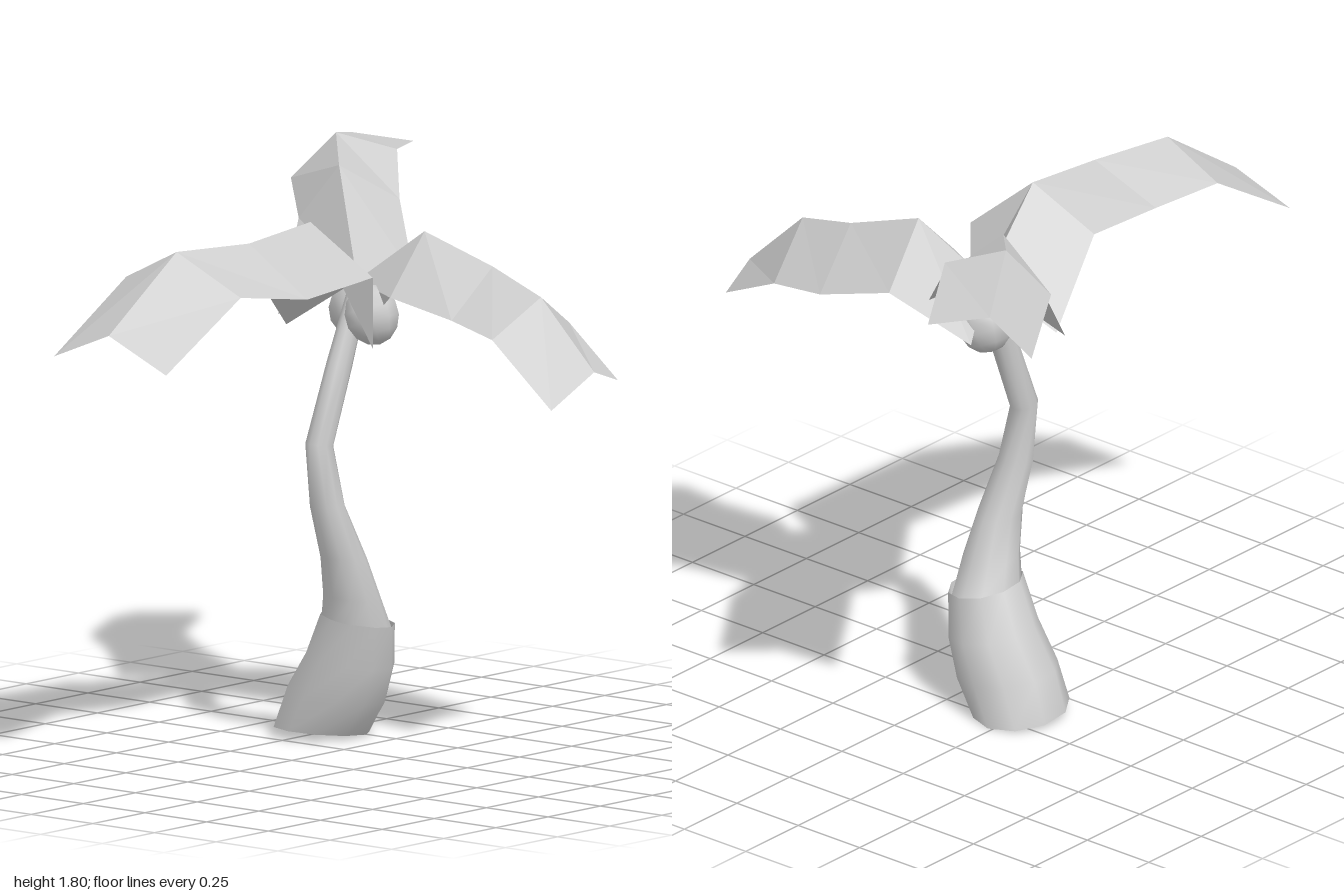
import * as THREE from 'three';

const SIDES = 10;

// Smooth open tube through rings [x, y, z, rx, rz, slopeX, slopeZ]
function ringTube(name, rings) {
  const pos = [], idx = [];
  rings.forEach(([x, y, z, rx, rz, sx = 0, sz = 0], r) => {
    for (let i = 0; i < SIDES; i++) {
      const a = (i / SIDES) * Math.PI * 2;
      const dx = Math.cos(a) * rx, dz = Math.sin(a) * rz;
      pos.push(x + dx, y + dx * sx + dz * sz, z + dz);
      if (r === 0) continue;
      const j = (i + 1) % SIDES, lo = (r - 1) * SIDES, hi = r * SIDES;
      idx.push(lo + i, hi + i, lo + j, lo + j, hi + i, hi + j);
    }
  });
  const geo = new THREE.BufferGeometry();
  geo.setAttribute('position', new THREE.Float32BufferAttribute(pos, 3));
  geo.setIndex(idx);
  geo.computeVertexNormals();
  const mesh = new THREE.Mesh(geo,
    new THREE.MeshStandardMaterial({ color: 0xcccccc, side: THREE.DoubleSide }));
  mesh.name = name;
  return mesh;
}

// Folded leaf: each section is [edge, ridge, edge], from the crown to the tip
function frond(name, sections) {
  const pos = sections.flat(2), idx = [];
  for (let s = 0; s < sections.length - 1; s++) {
    for (let k = 0; k < 2; k++) {
      const a = s * 3 + k;
      idx.push(a, a + 1, a + 3, a + 1, a + 4, a + 3);
    }
  }
  const geo = new THREE.BufferGeometry();
  geo.setAttribute('position', new THREE.Float32BufferAttribute(pos, 3));
  geo.setIndex(idx);
  geo.computeVertexNormals();
  const mesh = new THREE.Mesh(geo, new THREE.MeshStandardMaterial({
    color: 0xcccccc, side: THREE.DoubleSide, flatShading: true }));
  mesh.name = name;
  return mesh;
}

export function createModel() {
  const group = new THREE.Group();
  group.name = 'palmTree';

  // Thick leaning foot of the trunk
  group.add(ringTube('trunkBase', [
    [0.17, 0.015, -0.235, 0.16, 0.145, -0.09, -0.03],
    [0.167, 0.13, -0.175, 0.158, 0.162, -0.05, -0.1],
    [0.163, 0.25, -0.115, 0.146, 0.138, -0.05, -0.15],
    [0.145, 0.385, -0.068, 0.125, 0.112, -0.1, -0.15],
  ]));

  // Slim curved upper trunk
  group.add(ringTube('trunkUpper', [
    [0.14, 0.37, -0.068, 0.117, 0.106, -0.1, -0.15],
    [0.105, 0.46, -0.055, 0.094, 0.092, -0.1, -0.1],
    [0.058, 0.59, -0.05, 0.078, 0.07, -0.1],
    [0, 0.76, -0.068, 0.053, 0.058],
    [-0.01, 0.95, -0.092, 0.046, 0.043, -0.15],
    [0.08, 1.19, -0.087, 0.043, 0.038, -0.3],
    [0.175, 1.43, -0.085, 0.034, 0.03, -0.3],
  ]));

  // Three drooping leaves meeting at the crown
  const crown = [0.18, 1.44, -0.1];
  group.add(frond('rightLeaf', [
    [[0.09, 1.29, -0.31], crown, [0.02, 1.27, 0.1]],
    [[-0.16, 1.52, -0.25], [-0.09, 1.665, -0.06], [-0.01, 1.5, 0.125]],
    [[-0.43, 1.52, -0.27], [-0.385, 1.637, -0.06], [-0.33, 1.475, 0.13]],
    [[-0.66, 1.54, -0.325], [-0.655, 1.64, -0.125], [-0.59, 1.51, 0.08]],
    [[-1.0, 1.335, -0.33], [-0.98, 1.42, -0.125], [-0.93, 1.31, 0.065]],
  ]));
  group.add(frond('backLeaf', [
    [[0.12, 1.31, -0.37], crown, [0.395, 1.43, -0.05]],
    [[0.35, 1.57, -0.48], [0.39, 1.745, -0.35], [0.55, 1.63, -0.24]],
    [[0.49, 1.66, -0.63], [0.57, 1.805, -0.515], [0.68, 1.755, -0.36]],
    [[0.805, 1.61, -0.82], [0.875, 1.742, -0.71], [0.995, 1.715, -0.56]],
  ]));
  group.add(frond('frontLeaf', [
    [[0.14, 1.34, 0.0], crown, [0.38, 1.32, -0.21]],
    [[0.055, 1.43, 0.14], [0.25, 1.61, 0.115], [0.49, 1.465, 0.03]],
    [[0.06, 1.385, 0.385], [0.275, 1.525, 0.37], [0.515, 1.39, 0.29]],
    [[0.03, 1.35, 0.575], [0.235, 1.46, 0.6], [0.465, 1.34, 0.52]],
    [[0.03, 1.155, 0.815], [0.23, 1.25, 0.82], [0.385, 1.2, 0.785]],
  ]));

  // Two nuts hanging under the crown
  [[0.11, 1.355, 0.02, 0.085], [0.25, 1.345, -0.15, 0.095]].forEach(([x, y, z, r], i) => {
    const nut = new THREE.Mesh(new THREE.SphereGeometry(r, 9, 7),
      new THREE.MeshStandardMaterial({ color: 0xcccccc }));
    nut.name = `coconut${i + 1}`;
    nut.position.set(x, y, z);
    nut.scale.y = 1.12;
    nut.rotation.x = i ? 0.35 : -0.35;
    group.add(nut);
  });

  return group;
}
